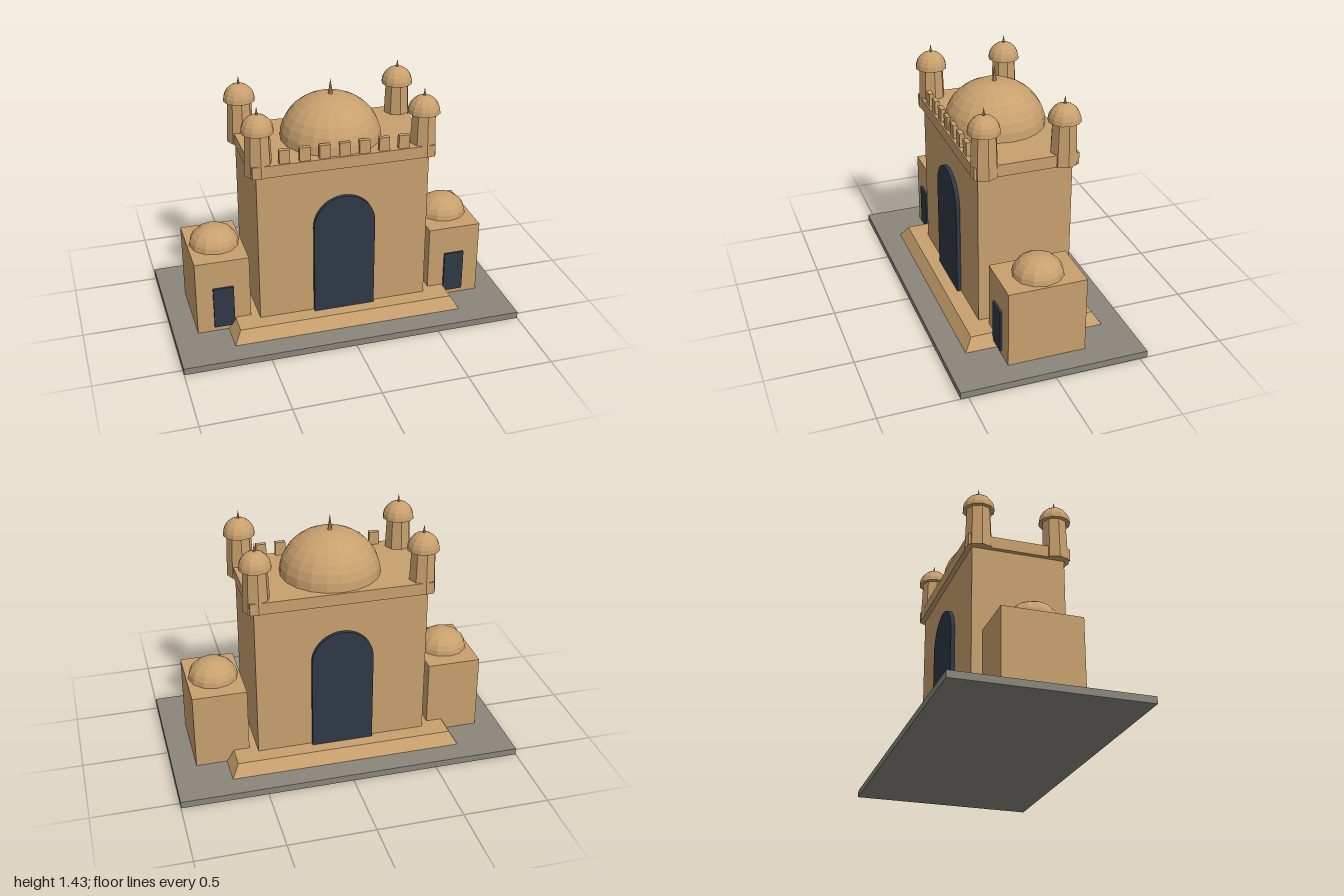
import * as THREE from 'three';

export function createModel() {
  const model = new THREE.Group();
  const material = (name, color) => {
    const m = new THREE.MeshStandardMaterial({ color, flatShading: true });
    m.name = name;
    return m;
  };
  const sandstone = material('sandstone', 0xc8a06e);
  const paving = material('paving', 0x8a867c);
  const darkOpening = material('darkOpening', 0x2f3845);

  const add = (name, geometry, mat, x, y, z, parent = model) => {
    const mesh = new THREE.Mesh(geometry, mat);
    mesh.name = name;
    mesh.position.set(x, y, z);
    parent.add(mesh);
    return mesh;
  };
  // Box standing on height y
  const block = (name, w, h, d, mat, x, y, z, parent) =>
    add(name, new THREE.BoxGeometry(w, h, d), mat, x, y + h / 2, z, parent);

  // Half-ellipsoid dome, closed underneath, base on height y
  const dome = (name, r, h, sides, rings, x, y, z, parent) => {
    const geometry = new THREE.SphereGeometry(r, sides, rings, 0, Math.PI * 2, 0, Math.PI / 2);
    geometry.scale(1, h / r, 1);
    add(name, geometry, sandstone, x, y, z, parent);
    const floor = new THREE.CircleGeometry(r, sides).rotateX(Math.PI / 2);
    add(name + 'Underside', floor, sandstone, x, y, z, parent);
  };
  const finial = (name, r, h, x, y, z, parent) =>
    add(name, new THREE.ConeGeometry(r, h, 8), sandstone, x, y + h / 2, z, parent);

  // Ground slab
  block('groundSlab', 2, 0.04, 1.09, paving, 0, 0, 0);

  // Plinth with sloping sides
  const plinth = new THREE.BoxGeometry(1.36, 0.07, 0.82);
  const p = plinth.attributes.position;
  for (let i = 0; i < p.count; i++) {
    if (p.getY(i) > 0) {
      p.setX(i, Math.sign(p.getX(i)) * 0.638);
      p.setZ(i, Math.sign(p.getZ(i)) * 0.365);
    }
  }
  add('plinth', plinth, sandstone, 0, 0.075, 0);

  // Main hall and cornice
  block('mainHall', 1, 0.92, 0.544, sandstone, 0, 0.11, 0);
  block('cornice', 1.05, 0.07, 0.6, sandstone, 0, 1.02, 0);

  // Arched portals front and back
  const arch = new THREE.Shape();
  arch.moveTo(-0.18, 0.11);
  arch.lineTo(0.18, 0.11);
  arch.lineTo(0.18, 0.66);
  arch.absarc(0, 0.66, 0.18, 0, Math.PI, false);
  arch.closePath();
  const archGeometry = new THREE.ExtrudeGeometry(arch, { depth: 0.035, bevelEnabled: false, curveSegments: 14 });
  add('frontPortal', archGeometry, darkOpening, 0, 0, 0.26);
  add('backPortal', archGeometry, darkOpening, 0, 0, -0.26).rotation.y = Math.PI;

  // Battlements along the front edge
  const battlements = new THREE.Group();
  battlements.name = 'battlements';
  model.add(battlements);
  for (let i = -3; i <= 3; i++) {
    block('merlon', 0.06, 0.08, 0.027, sandstone, i * 0.114, 1.09, 0.278, battlements);
  }

  // Central dome
  dome('mainDome', 0.29, 0.255, 20, 8, 0, 1.09, 0);
  finial('mainFinial', 0.015, 0.1, 0, 1.335, 0);

  // Corner turrets
  for (const x of [-0.476, 0.476]) {
    for (const z of [-0.228, 0.228]) {
      const turret = new THREE.Group();
      turret.name = 'turret';
      turret.position.set(x, 1.02, z);
      model.add(turret);
      add('turretShaft', new THREE.CylinderGeometry(0.07, 0.08, 0.25, 8), sandstone, 0, 0.125, 0, turret);
      dome('turretDome', 0.092, 0.1, 12, 6, 0, 0.25, 0, turret);
      finial('turretFinial', 0.01, 0.055, 0, 0.34, 0, turret);
    }
  }

  // Side pavilions with doors
  for (const side of [-1, 1]) {
    const pavilion = new THREE.Group();
    pavilion.name = side > 0 ? 'leftPavilion' : 'rightPavilion';
    pavilion.position.x = side * 0.703;
    model.add(pavilion);
    block('pavilionWalls', 0.315, 0.455, 0.454, sandstone, 0, 0.04, 0, pavilion);
    dome('pavilionDome', 0.145, 0.115, 12, 6, 0, 0.495, 0, pavilion);
    block('pavilionDoor', 0.12, 0.255, 0.02, darkOpening, 0, 0.07, 0.23, pavilion);
  }

  return model;
}
